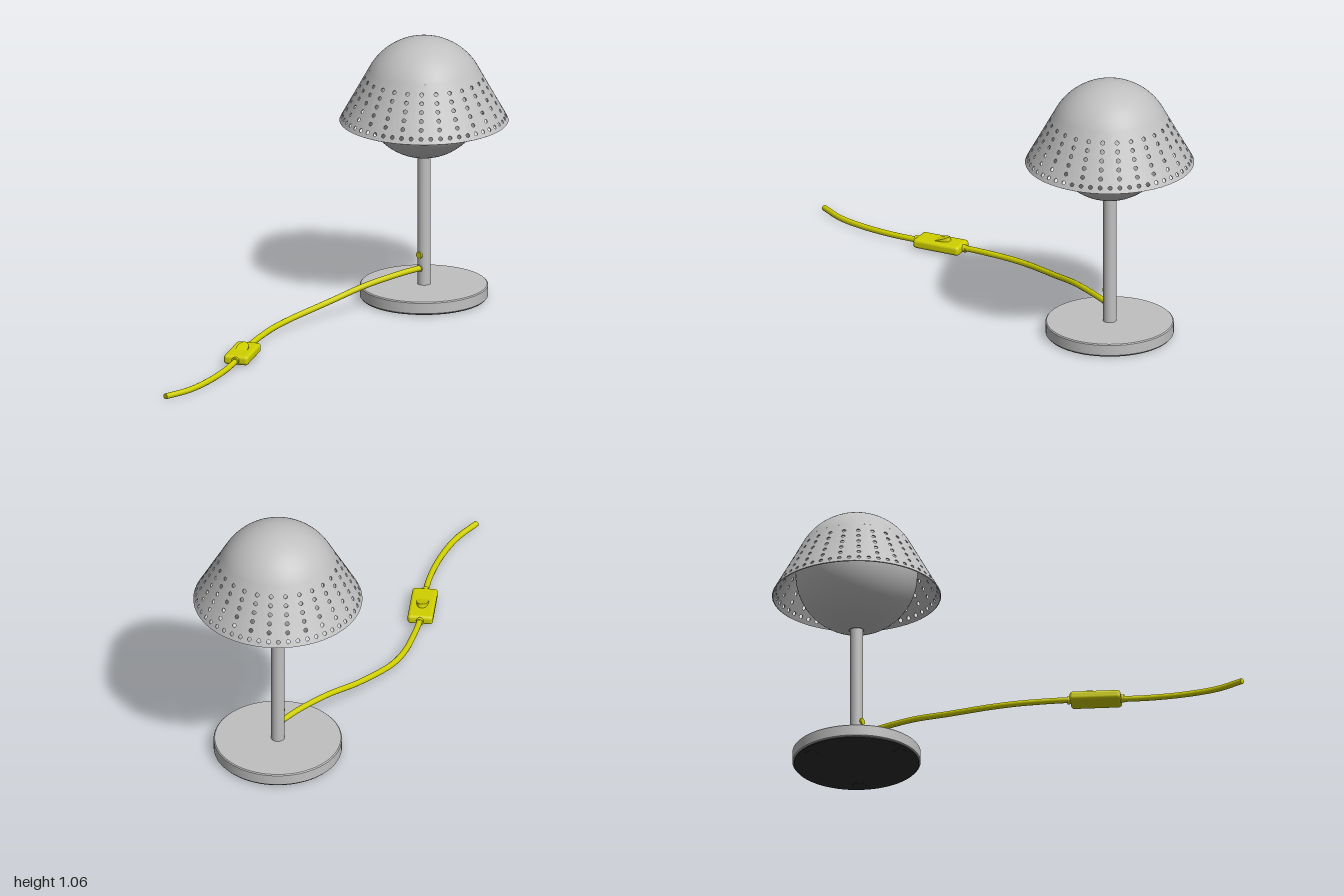
import * as THREE from 'three';
import { mergeGeometries, toCreasedNormals } from 'three/addons/utils/BufferGeometryUtils.js';
import { RoundedBoxGeometry } from 'three/addons/geometries/RoundedBoxGeometry.js';

const LAMP_Z = -0.67;
const CENTRE_Y = 0.817;       // centre of the dome and globe
const DOME_R = 0.245;
const TILT = 29 * Math.PI / 180; // cone is tangent to the dome at this latitude
const WALL = 0.004;
const V = (x, y, z) => new THREE.Vector3(x, y, z);
const P = (x, y) => new THREE.Vector2(x, y);

function material(name, color) {
  const m = new THREE.MeshStandardMaterial({ color });
  m.name = name;
  return m;
}

function add(parent, name, geometry, mat, x = 0, y = 0, z = 0) {
  const mesh = new THREE.Mesh(geometry, mat);
  mesh.name = name;
  mesh.position.set(x, y, z);
  parent.add(mesh);
  return mesh;
}

function lathe(points, segments = 64) {
  return toCreasedNormals(new THREE.LatheGeometry(points.map(p => P(...p)), segments), 0.6);
}

// Perforated cone: one flat cell is extruded, repeated and rolled round the axis
function perforatedCone() {
  const columns = 26, rows = 6, step = Math.PI * 2 / columns;
  const bottomR = 0.331, bottomY = 0.725;
  const topR = DOME_R * Math.cos(TILT), topY = CENTRE_Y + DOME_R * Math.sin(TILT);
  const length = Math.hypot(bottomR - topR, topY - bottomY);
  const radiusAt = s => bottomR + (topR - bottomR) * s / length;
  const a = -step / 4, b = step * 3 / 4, mid = step / 4;
  const cell = new THREE.Shape([P(a, 0), P(mid, 0), P(b, 0), P(b, length), P(mid, length), P(a, length)]);

  function punch(angle, s) {
    const hole = new THREE.Path();
    hole.absellipse(angle, s, 0.008 / radiusAt(s), 0.008, 0, Math.PI * 2, true);
    cell.holes.push(hole);
  }
  for (let i = 0; i < rows; i++) {
    const s = 0.023 + i * 0.0355;
    punch(0, s);
    if (i === 0) punch(step / 2, s); // lowest row is twice as dense
  }
  const flat = new THREE.ExtrudeGeometry(cell, { depth: WALL, bevelEnabled: false, curveSegments: 5 });
  const cells = [];
  for (let c = 0; c < columns; c++) {
    const g = flat.clone();
    const p = g.attributes.position;
    for (let i = 0; i < p.count; i++) {
      const angle = p.getX(i) + c * step, s = p.getY(i), out = p.getZ(i) - WALL;
      const r = radiusAt(s) + out * Math.cos(TILT);
      const y = bottomY + (topY - bottomY) * s / length + out * Math.sin(TILT);
      p.setXYZ(i, r * Math.sin(angle), y, r * Math.cos(angle));
    }
    cells.push(g);
  }
  return toCreasedNormals(mergeGeometries(cells), 0.6);
}

export function createModel() {
  const model = new THREE.Group();
  model.name = 'tableLamp';
  const grey = material('lightGreyMetal', 0xc0c0c0);
  const yellow = material('yellowCable', 0xd0d000);
  const dark = material('darkUnderside', 0x2a2e2a);

  const lamp = new THREE.Group();
  lamp.name = 'lamp';
  lamp.position.z = LAMP_Z;
  model.add(lamp);

  // Round base with softened rim, dark pad and feet beneath
  add(lamp, 'base', lathe([[0, 0.005], [0.247, 0.005], [0.251, 0.009], [0.251, 0.051],
    [0.247, 0.055], [0, 0.055]], 80), grey);
  add(lamp, 'basePad', new THREE.CylinderGeometry(0.245, 0.245, 0.003, 80), dark, 0, 0.0036, 0);
  for (let i = 0; i < 3; i++) {
    const a = i * Math.PI * 2 / 3;
    add(lamp, 'foot', new THREE.CylinderGeometry(0.025, 0.025, 0.003, 24), dark,
      0.2 * Math.sin(a), 0.0015, 0.2 * Math.cos(a));
  }

  // Stem and the flared collar under the globe
  add(lamp, 'stem', new THREE.CylinderGeometry(0.0262, 0.0262, 0.54, 32), grey, 0, 0.32, 0);
  add(lamp, 'collar', lathe([[0.02, 0.575], [0.03, 0.576], [0.036, 0.582], [0.052, 0.59],
    [0.057, 0.597], [0.05, 0.602], [0, 0.602]], 40), grey);

  // Globe inside the shade
  add(lamp, 'globe', new THREE.SphereGeometry(0.239, 64, 40), grey, 0, CENTRE_Y, 0);

  // Shade: closed dome over a perforated cone
  add(lamp, 'shadeDome', new THREE.SphereGeometry(DOME_R, 78, 24, 0, Math.PI * 2, 0, Math.PI / 2 - TILT),
    grey, 0, CENTRE_Y, 0);
  add(lamp, 'shadeCone', perforatedCone(), grey);

  // Button and cable outlet on the front of the stem
  const button = add(lamp, 'button', new THREE.CylinderGeometry(0.014, 0.014, 0.012, 24), yellow, 0, 0.176, 0.024);
  button.rotation.x = Math.PI / 2;
  add(lamp, 'cableOutlet', new THREE.TorusGeometry(0.0135, 0.002, 8, 24), grey, 0, 0.122, 0.026);

  // Cable trailing forward to the floor
  const path = new THREE.CatmullRomCurve3([
    V(0, 0.122, -0.66), V(-0.012, 0.12, -0.55), V(-0.038, 0.104, -0.38), V(-0.068, 0.07, -0.2),
    V(-0.084, 0.042, 0), V(-0.07, 0.034, 0.11), V(-0.04, 0.03, 0.21), V(0.002, 0.026, 0.32),
    V(0.05, 0.024, 0.41), V(0.097, 0.022, 0.5), V(0.145, 0.019, 0.61), V(0.186, 0.015, 0.75),
    V(0.204, 0.012, 0.88), V(0.195, 0.012, 1),
  ]);
  add(model, 'cable', new THREE.TubeGeometry(path, 140, 0.0115, 12), yellow);
  const end = add(model, 'cableEnd', new THREE.CircleGeometry(0.0115, 12), yellow, 0.195, 0.012, 1);
  end.rotation.y = -0.1;

  // Inline switch with strain reliefs and a tilted oval rocker
  const unit = new THREE.Group();
  unit.name = 'inlineSwitch';
  unit.position.set(0.05, 0.024, 0.412);
  unit.rotation.y = 28 * Math.PI / 180;
  model.add(unit);
  add(unit, 'switchBody', new RoundedBoxGeometry(0.1, 0.038, 0.2, 4, 0.013), yellow);
  for (const side of [-1, 1]) {
    const relief = add(unit, 'strainRelief', new THREE.CylinderGeometry(0.015, 0.015, 0.02, 16), yellow,
      0, 0, side * 0.102);
    relief.rotation.x = Math.PI / 2;
  }
  const oval = new THREE.Shape();
  oval.absellipse(0, 0, 0.024, 0.045, 0, Math.PI * 2);
  const rockerGeometry = new THREE.ExtrudeGeometry(oval, { depth: 0.016, bevelEnabled: false, curveSegments: 20 });
  rockerGeometry.rotateX(-Math.PI / 2);
  const rocker = add(unit, 'rocker', toCreasedNormals(rockerGeometry, 0.6), yellow, 0, 0.008, 0);
  rocker.rotation.x = 0.3;

  return model;
}
